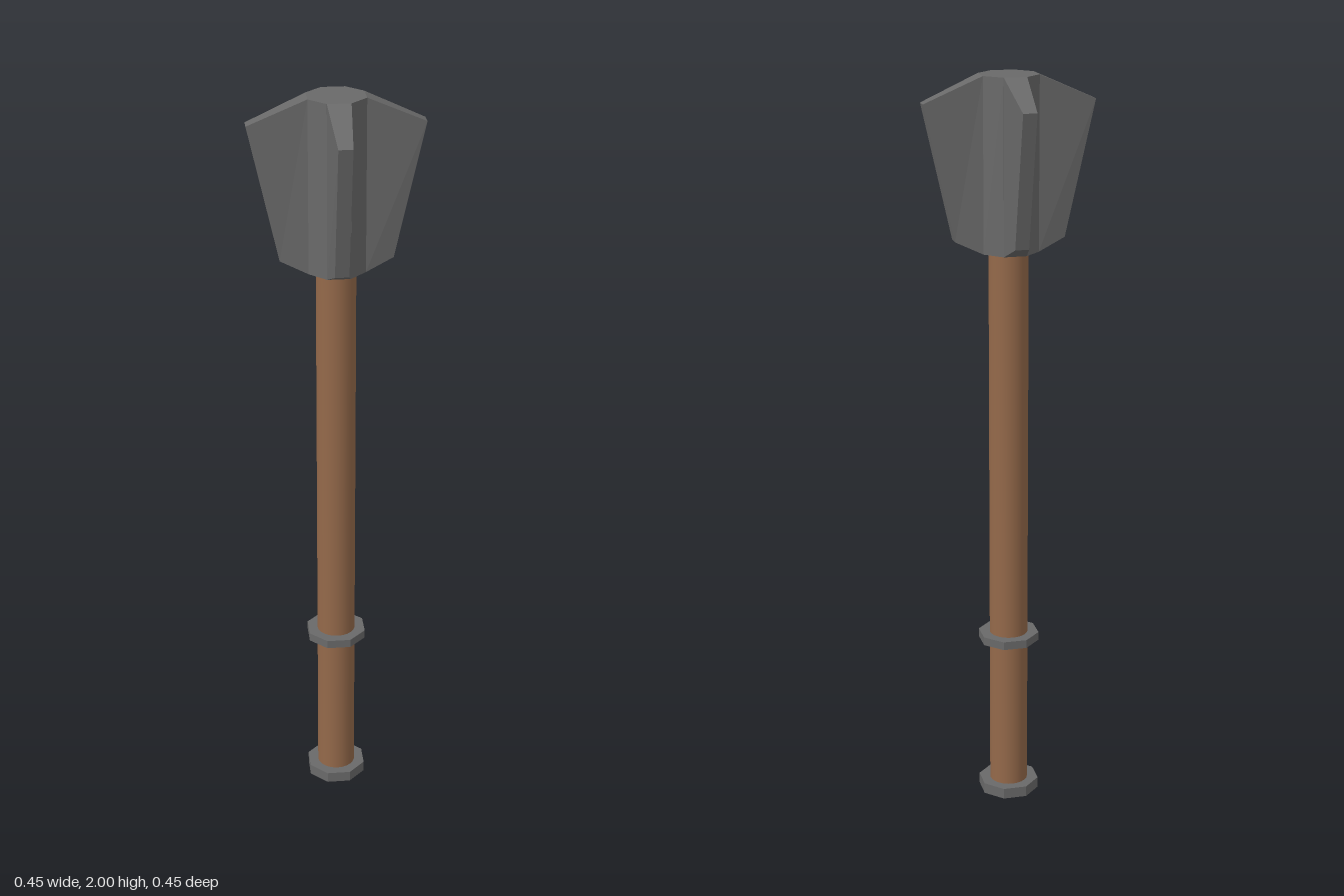
import * as THREE from 'three';

const steel = new THREE.MeshStandardMaterial({ color: 0x696969 });
steel.name = 'steel';
steel.flatShading = true;
const wood = new THREE.MeshStandardMaterial({ color: 0x94694a });
wood.name = 'wood';

// Octagonal prism with flat sides facing the axes
function octagon(name, apothem, y0, y1) {
  const r = apothem / Math.cos(Math.PI / 8);
  const geometry = new THREE.CylinderGeometry(r, r, y1 - y0, 8);
  geometry.rotateY(Math.PI / 8).translate(0, (y0 + y1) / 2, 0);
  const mesh = new THREE.Mesh(geometry, steel);
  mesh.name = name;
  return mesh;
}

// Box tapered into a flange that leans outward towards the top
function flangeGeometry() {
  const geometry = new THREE.BoxGeometry(1, 1, 1);
  const p = geometry.attributes.position;
  for (let i = 0; i < p.count; i++) {
    const outer = p.getX(i) > 0;
    const top = p.getY(i) > 0;
    const side = Math.sign(p.getZ(i));
    if (outer) p.setXYZ(i, top ? 0.224 : 0.145, top ? 1.933 : 1.58, side * 0.018);
    else p.setXYZ(i, 0.073, top ? 2 : 1.547, side * 0.03);
  }
  geometry.computeVertexNormals();
  return geometry;
}

export function createModel() {
  const model = new THREE.Group();
  model.name = 'flangedMace';

  // Round wooden shaft
  const shaft = new THREE.Mesh(new THREE.CylinderGeometry(0.052, 0.052, 1.55, 24), wood);
  shaft.position.y = 0.785;
  shaft.name = 'shaft';
  model.add(shaft);

  // Pommel and grip ring
  model.add(octagon('pommel', 0.077, 0, 0.03));
  model.add(octagon('gripRing', 0.077, 0.455, 0.478));

  // Head: core with four flanges
  const head = new THREE.Group();
  head.name = 'head';
  head.add(octagon('headCore', 0.073, 1.547, 2));
  const geometry = flangeGeometry();
  for (let i = 0; i < 4; i++) {
    const flange = new THREE.Mesh(geometry, steel);
    flange.rotation.y = i * Math.PI / 2;
    flange.name = 'flange' + (i + 1);
    head.add(flange);
  }
  model.add(head);
  return model;
}
